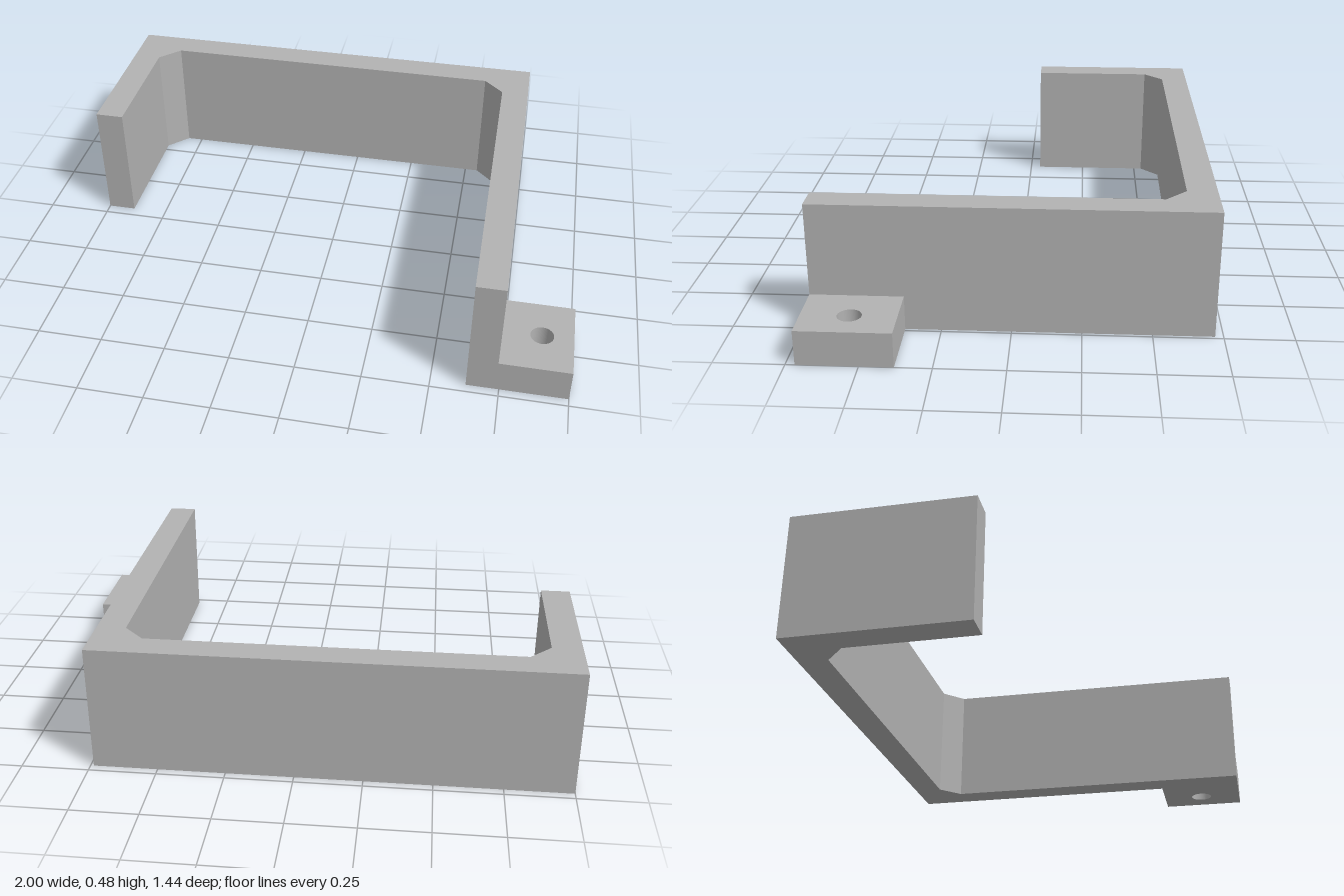
import * as THREE from 'three';

// Outline given as [x, z] points, extruded upward from y = 0
function planShape(points) {
  return new THREE.Shape(points.map(([x, z]) => new THREE.Vector2(x, -z)));
}

function extrudeUp(name, shape, height, material) {
  const geometry = new THREE.ExtrudeGeometry(shape, { depth: height, bevelEnabled: false, curveSegments: 32 });
  geometry.rotateX(-Math.PI / 2);
  const mesh = new THREE.Mesh(geometry, material);
  mesh.name = name;
  return mesh;
}

export function createModel() {
  const group = new THREE.Group();
  group.name = 'bracket';
  const grey = new THREE.MeshStandardMaterial({ color: 0xb2b2b2 });
  grey.name = 'grey';

  // Hooked wall: short arm, back and long arm, with chamfered inner corners
  const wall = planShape([
    [-1, -0.72], [-1, -0.043], [-0.89, -0.043], [-0.89, -0.533], [-0.812, -0.61],
    [0.552, -0.61], [0.63, -0.533], [0.63, 0.717], [0.738, 0.717], [0.738, -0.72],
  ]);
  group.add(extrudeUp('bracketWall', wall, 0.477, grey));

  // Low mounting tab with a screw hole
  const tab = planShape([[0.738, 0.38], [0.738, 0.717], [1, 0.717], [1, 0.38]]);
  const hole = new THREE.Path();
  hole.absarc(0.884, -0.546, 0.043, 0, Math.PI * 2, true);
  tab.holes.push(hole);
  group.add(extrudeUp('mountingTab', tab, 0.13, grey));

  return group;
}
